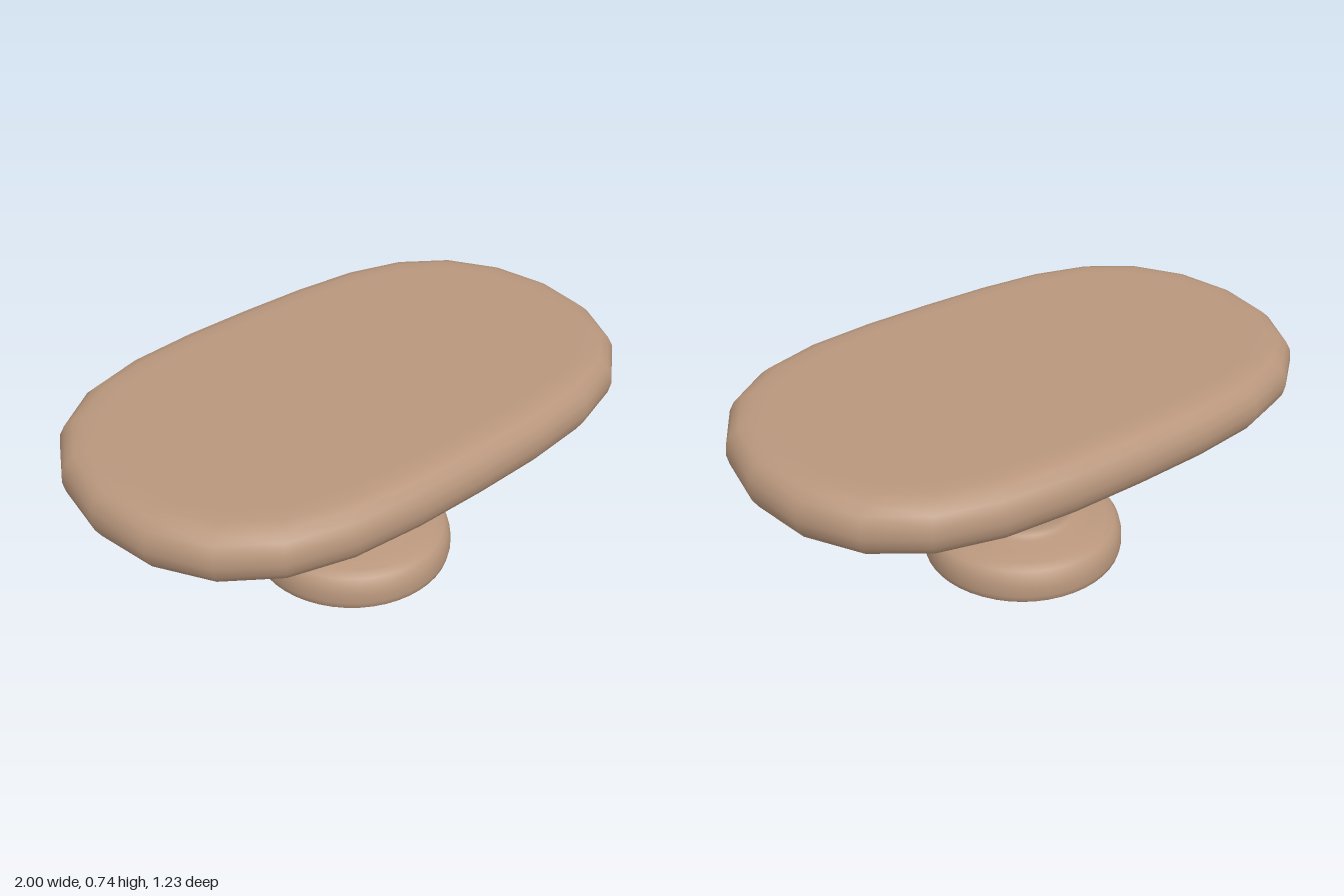
import * as THREE from 'three';
import { mergeVertices } from 'three/addons/utils/BufferGeometryUtils.js';

const wood = new THREE.MeshStandardMaterial({ color: 0xb8967c });

// Turned shape from [radius, height] pairs, listed bottom to top
function turned(profile, segments) {
  return new THREE.LatheGeometry(profile.map(([r, y]) => new THREE.Vector2(r, y)), segments);
}

// Weld the seam so the normals run smoothly all round
function weld(geometry) {
  geometry.deleteAttribute('uv');
  geometry.deleteAttribute('normal');
  const welded = mergeVertices(geometry, 1e-4);
  welded.computeVertexNormals();
  return welded;
}

// Rounded oblong top: a 24-sided disc squashed in z, with fuller corners
function topGeometry() {
  const halfDepth = 0.615;
  const geometry = turned([
    [0, 0.55], [0.86, 0.55], [0.905, 0.552], [0.945, 0.558], [0.975, 0.575],
    [0.993, 0.605], [1, 0.64], [0.995, 0.675], [0.98, 0.705], [0.955, 0.727],
    [0.92, 0.737], [0.87, 0.74], [0, 0.74],
  ], 24);
  const p = geometry.attributes.position;
  for (let i = 0; i < p.count; i++) {
    const r = Math.hypot(p.getX(i), p.getZ(i));
    if (r < 1e-6) continue;
    const s = p.getZ(i) / r;
    const depth = halfDepth - (1 - r); // same inset on every side
    p.setZ(i, depth * s * (1 + 0.41 * (1 - s * s)));
  }
  return weld(geometry);
}

// Foot, tapering column and collar in one turned piece
function pedestalGeometry() {
  return weld(turned([
    [0, 0], [0.325, 0], [0.342, 0.003], [0.352, 0.012], [0.357, 0.035],
    [0.355, 0.07], [0.347, 0.1], [0.33, 0.122], [0.3, 0.136], [0.25, 0.146],
    [0.205, 0.154], [0.183, 0.162], [0.173, 0.178], [0.167, 0.21],
    [0.159, 0.29], [0.153, 0.38], [0.154, 0.398], [0.161, 0.408],
    [0.178, 0.416], [0.191, 0.429], [0.198, 0.455], [0.201, 0.5], [0.2, 0.56],
  ], 48));
}

export function createModel() {
  const model = new THREE.Group();
  model.name = 'pedestalTable';
  const parts = { tableTop: topGeometry(), pedestal: pedestalGeometry() };
  for (const [name, geometry] of Object.entries(parts)) {
    const mesh = new THREE.Mesh(geometry, wood);
    mesh.name = name;
    model.add(mesh);
  }
  return model;
}
